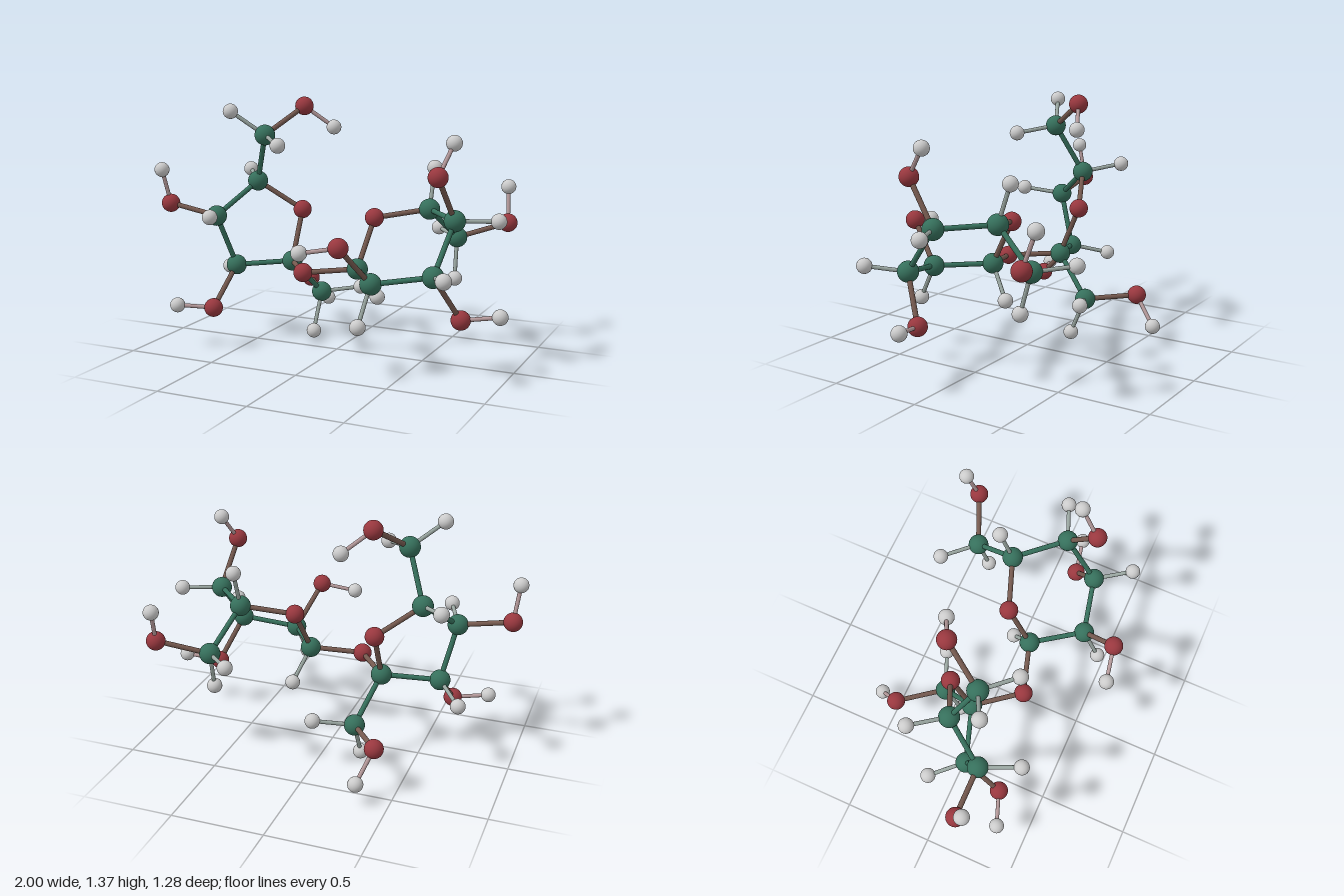
import * as THREE from 'three';

const GREEN = 0x36705c, RED = 0x99383f, GREY = 0xcccccc;

// Each atom: name: [x, y, z, names of the earlier atoms it is bonded to]
const CARBONS = {
  // five-sided ring and its two arms
  C1: [-0.29, 0.47, -0.035, ''],
  C2: [-0.59, 0.44, 0.065, 'C1'],
  C3: [-0.65, 0.73, 0.17, 'C2'],
  C4: [-0.51, 0.905, -0.05, 'C3'],
  C5: [-0.4, 1.175, 0.065, 'C4'],
  C6: [-0.21, 0.255, -0.245, 'C1'],
  // six-sided ring and its arm
  C7: [0.17, 0.495, 0.11, ''],
  C8: [0.355, 0.487, 0.365, 'C7'],
  C9: [0.66, 0.537, 0.295, 'C8'],
  C10: [0.7, 0.79, 0.1, 'C9'],
  C11: [0.48, 0.8, -0.135, 'C10'],
  C12: [0.555, 0.612, -0.378, 'C11'],
};
const OXYGENS = {
  O1: [-0.285, 0.743, -0.155, 'C1 C4'], // ring
  O2: [0.205, 0.75, -0.035, 'C7 C11'], // ring
  O3: [-0.108, 0.467, 0.195, 'C1 C7'], // link between the rings
  O4: [-0.27, 1.322, -0.155, 'C5'],
  O5: [-0.94, 0.783, 0.18, 'C3'],
  O6: [-0.618, 0.237, 0.275, 'C2'],
  O7: [-0.39, 0.27, -0.472, 'C6'],
  O8: [0.266, 0.698, 0.558, 'C8'],
  O9: [0.762, 0.297, 0.16, 'C9'],
  O10: [0.667, 1.03, 0.268, 'C10'],
  O11: [0.81, 0.694, -0.488, 'C12'],
};
const HYDROGENS = {
  H1: [-0.563, 1.304, 0.15, 'C5'],
  H2: [-0.24, 1.139, 0.222, 'C5'],
  H3: [-0.125, 1.205, -0.23, 'O4'],
  H4: [-0.65, 0.946, -0.222, 'C4'],
  H5: [-0.565, 0.76, 0.38, 'C3'],
  H6: [-0.96, 0.975, 0.23, 'O5'],
  H7: [-0.73, 0.387, -0.1, 'C2'],
  H8: [-0.805, 0.248, 0.345, 'O6'],
  H9: [-0.216, 0.045, -0.152, 'C6'],
  H10: [-0.003, 0.285, -0.33, 'C6'],
  H11: [-0.335, 0.124, -0.6, 'O7'],
  H12: [0.073, 0.664, 0.597, 'O8'],
  H13: [0.234, 0.322, -0.012, 'C7'],
  H14: [0.332, 0.289, 0.473, 'C8'],
  H15: [0.778, 0.567, 0.482, 'C9'],
  H16: [0.955, 0.324, 0.12, 'O9'],
  H17: [0.906, 0.79, 0.02, 'C10'],
  H18: [0.708, 1.188, 0.153, 'O10'],
  H19: [0.48, 1.013, -0.21, 'C11'],
  H20: [0.79, 0.884, -0.552, 'O11'],
  H21: [0.393, 0.628, -0.538, 'C12'],
  H22: [0.565, 0.393, -0.32, 'C12'],
};

const KINDS = [
  { label: 'carbonAtom', atoms: CARBONS, radius: 0.056, color: GREEN },
  { label: 'oxygenAtom', atoms: OXYGENS, radius: 0.051, color: RED },
  { label: 'hydrogenAtom', atoms: HYDROGENS, radius: 0.041, color: GREY },
];

const makeMaterial = (color) => new THREE.MeshStandardMaterial({ color });

export function createModel() {
  const model = new THREE.Group();
  const atoms = new THREE.Group();
  const bonds = new THREE.Group();
  atoms.name = 'atoms';
  bonds.name = 'bonds';
  model.add(atoms, bonds);

  const placed = {};
  const bondMaterials = {};
  const up = new THREE.Vector3(0, 1, 0);

  // Rod from one atom centre to the other, in the mix of their two colours
  function addBond(a, b) {
    const key = a.kind.label + b.kind.label;
    bondMaterials[key] ??= makeMaterial(
      new THREE.Color(a.kind.color).lerp(new THREE.Color(b.kind.color), 0.5));
    const along = b.position.clone().sub(a.position);
    const radius = b.kind.atoms === HYDROGENS ? 0.011 : 0.014;
    const rod = new THREE.Mesh(
      new THREE.CylinderGeometry(radius, radius, along.length(), 12, 1, true),
      bondMaterials[key]);
    rod.name = 'bond';
    rod.position.copy(a.position).addScaledVector(along, 0.5);
    rod.quaternion.setFromUnitVectors(up, along.normalize());
    bonds.add(rod);
  }

  for (const kind of KINDS) {
    const ball = new THREE.SphereGeometry(kind.radius, 32, 20);
    const material = makeMaterial(kind.color);
    for (const [id, [x, y, z, partners]] of Object.entries(kind.atoms)) {
      const atom = new THREE.Mesh(ball, material);
      atom.name = kind.label;
      atom.position.set(x, y, z);
      atoms.add(atom);
      placed[id] = { position: atom.position, kind };
      for (const p of partners.split(' ').filter(Boolean)) addBond(placed[p], placed[id]);
    }
  }
  return model;
}
